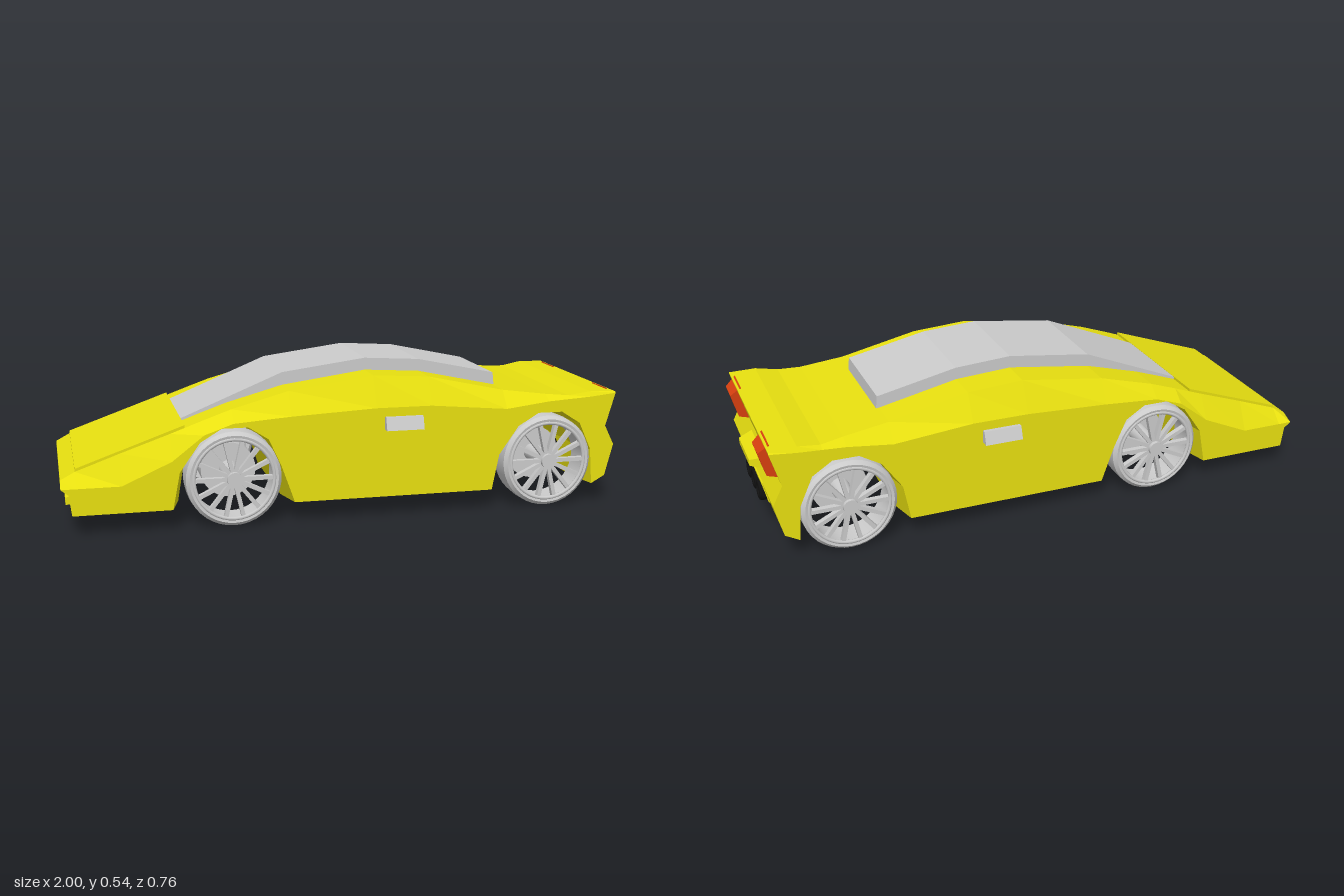
import * as THREE from 'three';
import { toCreasedNormals } from 'three/addons/utils/BufferGeometryUtils.js';

const mat = (color, extra = {}) => new THREE.MeshStandardMaterial({ color, ...extra });
const YELLOW = mat(0xe8e010, { flatShading: true, side: THREE.DoubleSide });
const GREY = mat(0xcccccc);
const RED = mat(0xd8400f, { flatShading: true });
const BLACK = mat(0x111111);

const HALF = 0.35;
const AXLES = [-0.42, 0.72];

// stations along the car: x, shoulder height, top height, top half-width
const STATIONS = [
  [-1, 0.165, 0.185, 0.3], [-0.95, 0.165, 0.212, 0.3], [-0.8, 0.165, 0.266, 0.3],
  [-0.63, 0.24, 0.325, 0.3], [-0.52, 0.325, 0.365, 0.3], [-0.42, 0.36, 0.4, 0.3],
  [-0.22, 0.375, 0.455, 0.3], [0.08, 0.39, 0.497, 0.3], [0.28, 0.39, 0.485, 0.3],
  [0.56, 0.365, 0.425, 0.3], [0.72, 0.385, 0.405, 0.31], [0.8, 0.39, 0.4, 0.33],
  [0.88, 0.395, 0.413, 0.34], [0.975, 0.405, 0.41, 0.345],
];

// wheel arch outline, relative to the axle, from nose side to tail side
const ARCH = [[-0.21, 0.072], [-0.185, 0.2], [-0.115, 0.3], [-0.04, 0.345],
  [0.05, 0.345], [0.12, 0.3], [0.165, 0.2]];

function add(parent, name, geometry, material, x = 0, y = 0, z = 0) {
  const mesh = new THREE.Mesh(geometry, material);
  mesh.name = name;
  mesh.position.set(x, y, z);
  parent.add(mesh);
  return mesh;
}

// side outline extruded across the car, centred on z = 0
function slab(points, width, steps = 1) {
  const shape = new THREE.Shape(points.map(([x, y]) => new THREE.Vector2(x, y)));
  return new THREE.ExtrudeGeometry(shape, { depth: width, steps, bevelEnabled: false })
    .translate(0, 0, -width / 2);
}

// box whose face on one side is shrunk
function taperedBox(w, h, d, axis, sy, sOther) {
  const g = new THREE.BoxGeometry(w, h, d);
  const p = g.attributes.position;
  for (let i = 0; i < p.count; i++) {
    if ((axis === 'x' ? p.getX(i) : p.getZ(i)) <= 0) continue;
    p.setY(i, p.getY(i) * sy);
    if (axis === 'x') p.setZ(i, p.getZ(i) * sOther);
    else p.setX(i, p.getX(i) * sOther);
  }
  g.computeVertexNormals();
  return g;
}

// lower body with arches that narrow inside the flared outer edge
function lowerBody() {
  const outline = [[-0.965, 0.072]];
  AXLES.forEach((cx, i) => {
    ARCH.forEach(([x, y]) => outline.push([cx + x, y]));
    outline.push([cx + (i ? 0.175 : 0.21), 0.072]);
  });
  outline.push([0.945, 0.1], [0.975, 0.215], [0.94, 0.285]);
  [...STATIONS].reverse().forEach(([x, y]) => outline.push([x, y]));
  outline.push([-0.975, 0.145]);
  const g = slab(outline, HALF * 2, 6);
  const p = g.attributes.position;
  for (let i = 0; i < p.count; i++) {
    if (Math.abs(p.getZ(i)) > HALF - 0.01 || p.getY(i) > 0.352) continue;
    for (const cx of AXLES) {
      const dx = p.getX(i) - cx;
      if (Math.abs(dx) < 0.215) p.setX(i, cx + dx * 0.86);
    }
  }
  g.computeVertexNormals();
  return g;
}

// upper body lofted from the shoulder line to the roof line
function upperBody() {
  const rings = STATIONS.map(([x, sy, ty, tz]) =>
    [[x, sy, -HALF], [x, ty, -tz], [x, ty, tz], [x, sy, HALF]]);
  const v = [];
  const quad = (a, b, c, d) => v.push(...a, ...b, ...c, ...a, ...c, ...d);
  for (let i = 0; i < rings.length - 1; i++)
    for (let k = 0; k < 3; k++)
      quad(rings[i][k], rings[i][k + 1], rings[i + 1][k + 1], rings[i + 1][k]);
  quad(...[...rings[0]].reverse());
  quad(...rings[rings.length - 1]);
  const g = new THREE.BufferGeometry();
  g.setAttribute('position', new THREE.Float32BufferAttribute(v, 3));
  g.computeVertexNormals();
  return g;
}

// wheel with its outer face towards +z
function wheel() {
  const group = new THREE.Group();
  group.name = 'wheel';
  const profile = [[0.14, -0.055], [0.153, -0.058], [0.165, -0.045], [0.167, 0], [0.165, 0.045],
    [0.153, 0.058], [0.14, 0.055], [0.14, -0.055]].map(([r, y]) => new THREE.Vector2(r, y));
  const tyre = toCreasedNormals(new THREE.LatheGeometry(profile, 40), 0.5);
  add(group, 'tyre', tyre.rotateX(Math.PI / 2), GREY);
  add(group, 'rim', new THREE.TorusGeometry(0.139, 0.007, 8, 40), GREY, 0, 0, 0.052);
  const hub = new THREE.CylinderGeometry(0.026, 0.034, 0.16, 20).rotateX(Math.PI / 2);
  add(group, 'hub', hub, GREY, 0, 0, -0.013);
  for (let i = 0; i < 14; i++) {
    const spoke = new THREE.BoxGeometry(0.12, 0.014, 0.02).translate(0.082, 0, 0);
    add(group, 'spoke', spoke, GREY, 0, 0, 0.045).rotation.z = (i / 14) * Math.PI * 2;
  }
  return group;
}

export function createModel() {
  const car = new THREE.Group();
  car.name = 'sportsCar';

  add(car, 'lowerBody', lowerBody(), YELLOW);
  add(car, 'upperBody', upperBody(), YELLOW);

  // hood panel and nose lip
  add(car, 'hood', slab([[-0.95, 0.205], [-0.58, 0.33], [-0.58, 0.353], [-0.95, 0.222]], 0.6), YELLOW);
  add(car, 'noseLip', slab([[-0.985, 0.1], [-0.96, 0.1], [-0.96, 0.13], [-0.985, 0.125]], 0.6), YELLOW);

  // raised canopy strip
  const canopy = slab([[-0.58, 0.335], [-0.22, 0.44], [0.08, 0.48], [0.28, 0.47], [0.57, 0.422],
    [0.565, 0.468], [0.28, 0.528], [0.08, 0.54], [-0.22, 0.5], [-0.58, 0.352]], 0.362);
  add(car, 'canopy', canopy, mat(0xcccccc, { flatShading: true }));

  // wheels and axles
  for (const x of AXLES) {
    for (const side of [1, -1]) {
      const w = wheel();
      w.position.set(x, 0.167, side * 0.298);
      if (side < 0) w.rotation.y = Math.PI;
      car.add(w);
    }
    const axle = new THREE.CylinderGeometry(0.097, 0.097, 0.42, 32).rotateX(Math.PI / 2);
    add(car, 'axle', axle, GREY, x, 0.167, 0);
  }

  for (const side of [1, -1]) {
    // door handle, deeper at its lower edge
    const handle = new THREE.BoxGeometry(0.135, 0.045, 0.04);
    const p = handle.attributes.position;
    for (let i = 0; i < p.count; i++)
      if (p.getZ(i) * side > 0 && p.getY(i) > 0) p.setZ(i, side * 0.004);
    handle.computeVertexNormals();
    add(car, 'doorHandle', handle, GREY, 0.178, 0.336, side * 0.36);

    // tail light
    const light = taperedBox(0.045, 0.13, 0.118, 'x', 0.68, 0.76);
    add(car, 'tailLight', light, RED, 0.966, 0.346, side * 0.241).rotation.z = -0.27;
  }

  // tail trim
  add(car, 'plateHolder', taperedBox(0.05, 0.044, 0.228, 'x', 0.5, 0.8), YELLOW, 0.974, 0.255, 0);
  add(car, 'tailLedge', new THREE.BoxGeometry(0.03, 0.006, 0.362), YELLOW, 0.963, 0.215, 0);
  add(car, 'exhaustPanel', new THREE.BoxGeometry(0.012, 0.08, 0.28), YELLOW, 0.957, 0.156, 0)
    .rotation.z = -0.25;

  // exhaust pipes
  for (const z of [0.072, -0.014, -0.101]) {
    const pipe = [[0.019, -0.075], [0.038, -0.075], [0.038, 0.075], [0.019, 0.075], [0.019, -0.075]]
      .map(([r, y]) => new THREE.Vector2(r, y));
    const geometry = toCreasedNormals(new THREE.LatheGeometry(pipe, 24), 0.6).rotateZ(-Math.PI / 2);
    add(car, 'exhaustPipe', geometry, BLACK, 0.898, 0.152, z);
    add(car, 'exhaustTip', new THREE.TorusGeometry(0.0285, 0.0095, 8, 24).rotateY(Math.PI / 2),
      BLACK, 0.972, 0.152, z);
  }
  return car;
}
